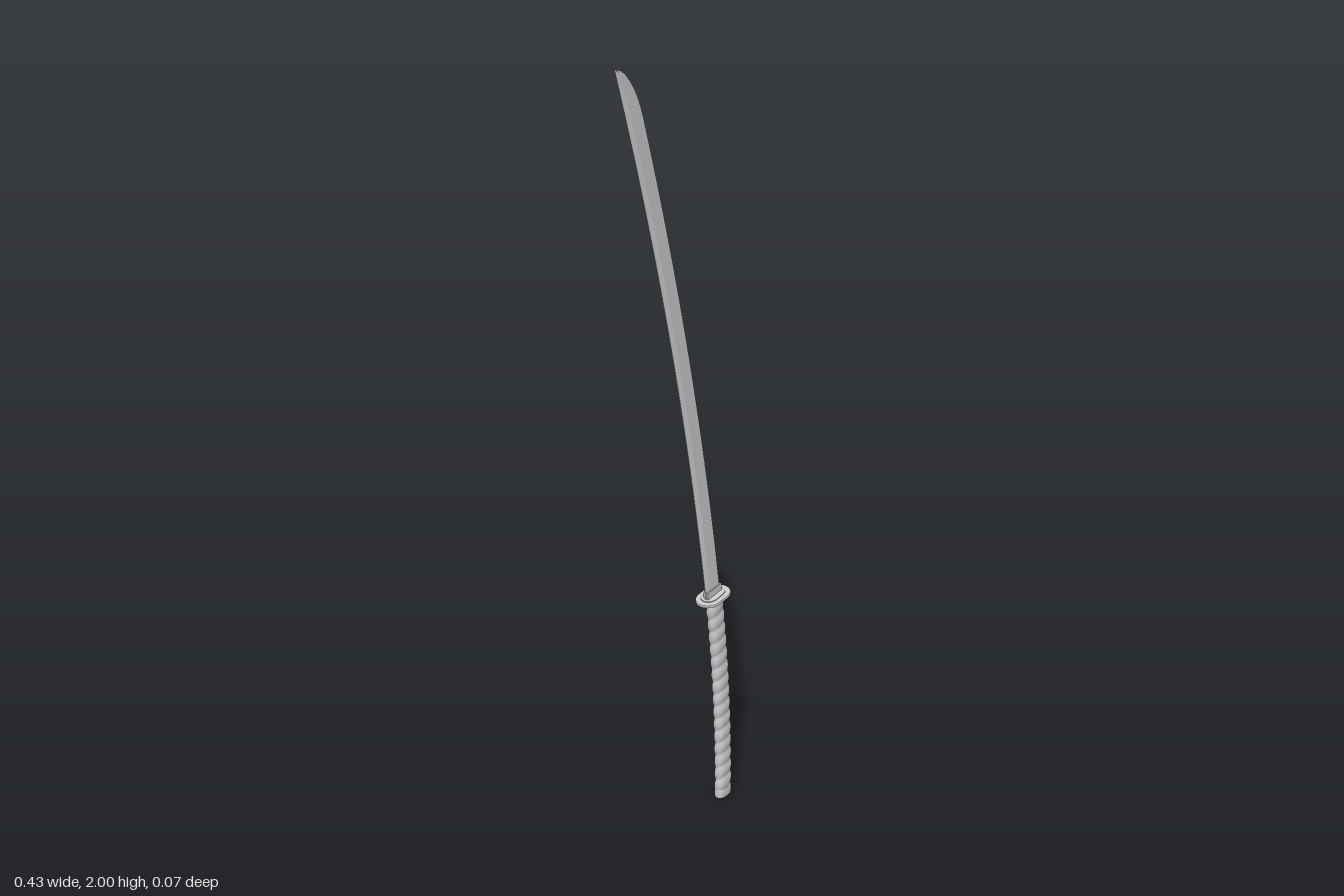
import * as THREE from 'three';

const steel = new THREE.MeshStandardMaterial({ color: 0xcccccc });
const facetedSteel = new THREE.MeshStandardMaterial({ color: 0xcccccc, flatShading: true });

// Skin stacked rings (counter-clockwise seen from above) and cap both ends.
function loft(rings) {
  const n = rings[0].length, pos = rings.flat(2), idx = [];
  for (let i = 0; i < rings.length - 1; i++) {
    for (let j = 0; j < n; j++) {
      const k = (j + 1) % n;
      const a = i * n + j, b = i * n + k, c = a + n, d = b + n;
      idx.push(a, b, d, a, d, c);
    }
  }
  // Caps use their own vertices so their rims stay sharp
  for (const [ring, up] of [[rings[0], false], [rings.at(-1), true]]) {
    const base = pos.length / 3;
    pos.push(...ring.flat());
    for (let j = 1; j < n - 1; j++) {
      idx.push(base, base + (up ? j : j + 1), base + (up ? j + 1 : j));
    }
  }
  const geo = new THREE.BufferGeometry();
  geo.setAttribute('position', new THREE.Float32BufferAttribute(pos, 3));
  geo.setIndex(idx);
  geo.computeVertexNormals();
  return geo;
}

function part(name, geo, material = steel) {
  const mesh = new THREE.Mesh(geo, material);
  mesh.name = name;
  return mesh;
}

// Centre line of the grip and spine line of the blade
const gripX = y => 0.187 - 0.125 * y * y;
const spineX = y => 0.161 - 0.15 * (y - 0.61) - 0.0615 * (y - 0.61) ** 2;

// Rounded-oblong grip section; grow(angle) swells it outward
function gripRing(y, halfX, halfZ, grow = () => 0, sides = 32) {
  const ring = [], lean = 0.25 * y;
  const squash = v => Math.sign(v) * Math.abs(v) ** 0.8;
  for (let j = 0; j < sides; j++) {
    const a = (j / sides) * Math.PI * 2, g = grow(a);
    const dx = (halfX + g) * squash(Math.cos(a));
    ring.push([gripX(y) + dx, y + dx * lean, -(halfZ + g) * squash(Math.sin(a))]);
  }
  return ring;
}

// Grip with a spiral cord wrap
function gripGeometry() {
  const rings = [], pitch = 0.038, rows = 150;
  for (let i = 0; i <= rows; i++) {
    const y = 0.025 + (0.575 * i) / rows;
    const wrap = a => 0.0028 * Math.abs(Math.sin(Math.PI * (y / pitch - a / (Math.PI * 2))));
    rings.push(gripRing(y, 0.0245, 0.0135, wrap));
  }
  return loft(rings);
}

// Blade: flat spine, parallel flats and a bevel down to the cutting edge
function bladeGeometry() {
  const rings = [], half = 0.0045, tipStart = 1.885, width = 0.053;
  const section = (y, w) => {
    const edge = spineX(y) - width, spine = edge + w, shoulder = edge + Math.min(0.014, w * 0.3);
    rings.push([
      [spine, y, half], [spine, y, -half], [shoulder, y, -half],
      [edge, y, -0.0008], [edge, y, 0.0008], [shoulder, y, half],
    ]);
  };
  for (let i = 0; i < 32; i++) section(0.6 + ((tipStart - 0.6) * i) / 32, width);
  // Curved tip
  for (let i = 0; i <= 10; i++) {
    const a = (i / 10) * Math.PI / 2;
    section(tipStart + (2 - tipStart) * Math.sin(a), Math.max(width * Math.cos(a), 0.0005));
  }
  return loft(rings);
}

// Flat plate with semicircular ends, centred on its own origin
function oblongPlate(length, width, thickness, bevel, hole) {
  const r = width / 2 - bevel, s = length / 2 - width / 2;
  const shape = new THREE.Shape();
  shape.absarc(s, 0, r, -Math.PI / 2, Math.PI / 2, false);
  shape.absarc(-s, 0, r, Math.PI / 2, Math.PI * 1.5, false);
  shape.closePath();
  const geo = new THREE.ExtrudeGeometry(shape, {
    depth: thickness - 2 * bevel, bevelEnabled: true, bevelSize: bevel,
    bevelThickness: bevel, bevelSegments: 2, curveSegments: 20,
  });
  geo.translate(0, 0, bevel - thickness / 2);
  return geo.rotateX(-Math.PI / 2);
}

export function createModel() {
  const model = new THREE.Group();
  model.name = 'sword';

  model.add(part('blade', bladeGeometry(), facetedSteel));
  model.add(part('grip', gripGeometry()));

  // Pommel cap
  model.add(part('pommel', loft([
    gripRing(0, 0.0245, 0.0135),
    gripRing(0.004, 0.0265, 0.0155),
    gripRing(0.022, 0.0268, 0.0158),
    gripRing(0.027, 0.0255, 0.0145),
  ])));

  // Guard assembly, square to the curve of the sword
  const guard = new THREE.Group();
  guard.name = 'guard';
  guard.position.set(0.138, 0.609, 0);
  guard.rotation.z = 0.145;
  guard.add(part('guardPlate', oblongPlate(0.103, 0.069, 0.009, 0.003)));
  for (const side of [-1, 1]) {
    const washer = part(side > 0 ? 'upperWasher' : 'lowerWasher', oblongPlate(0.074, 0.044, 0.004, 0.001));
    washer.position.y = side * 0.005;
    guard.add(washer);
  }
  // Collar hugging the base of the blade
  const collar = part('bladeCollar', new THREE.BoxGeometry(0.056, 0.022, 0.014));
  collar.position.set(0, 0.015, 0);
  guard.add(collar);
  model.add(guard);

  return model;
}
